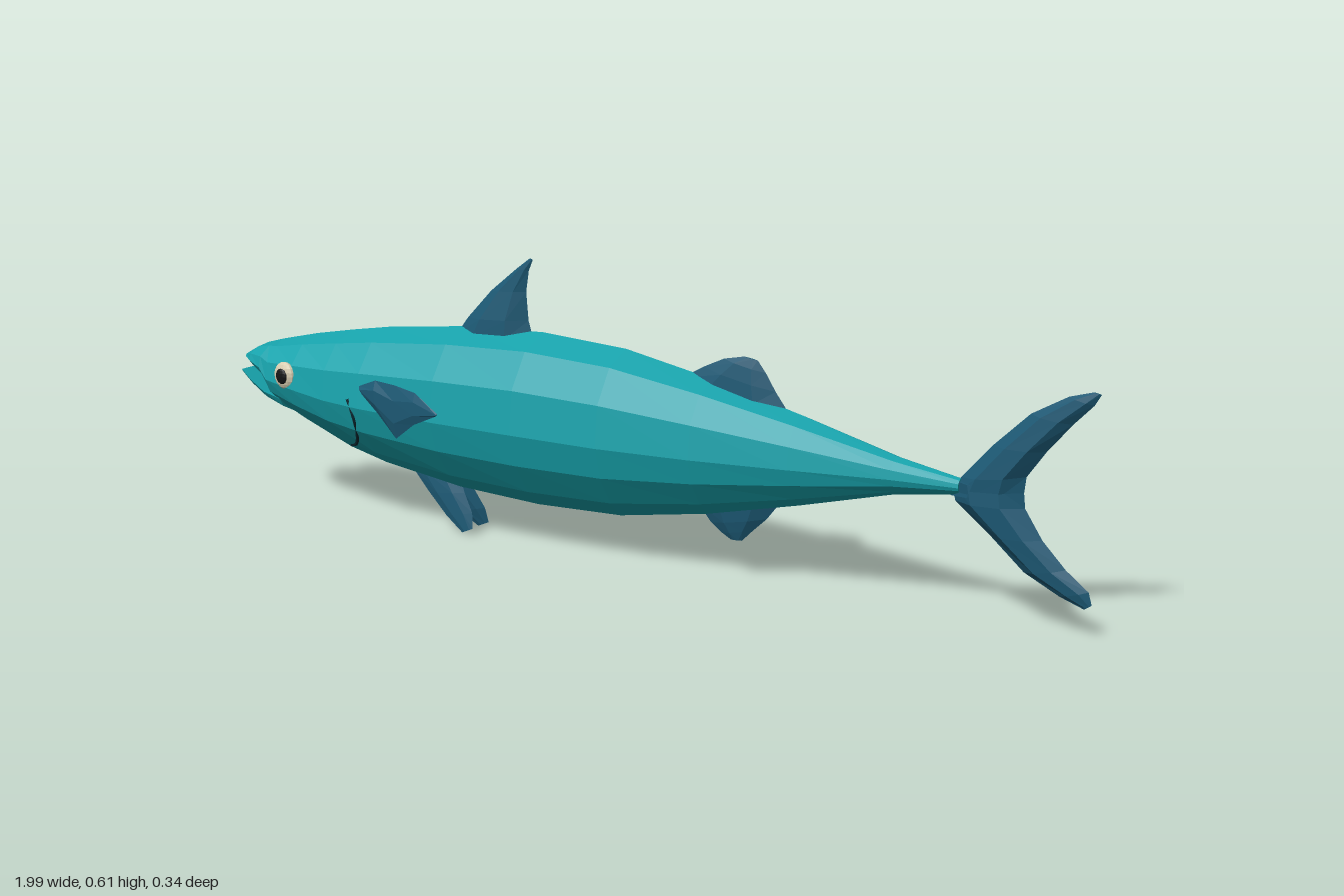
import * as THREE from 'three';

const material = (color) => new THREE.MeshStandardMaterial({ color, flatShading: true });
const teal = material(0x17a2ab);
const finBlue = material(0x1c5873);
const dark = material(0x0c2a33);
const cream = material(0xd8cdb0);
const black = material(0x151515);

// Skin a list of equal-sized rings of points, closing both ends
function loft(rings) {
  const n = rings[0].length, last = rings.length - 1, tris = [];
  for (let r = 0; r < last; r++) {
    for (let i = 0; i < n; i++) {
      const j = (i + 1) % n, a = rings[r], b = rings[r + 1];
      tris.push([a[i], a[j], b[j]], [a[i], b[j], b[i]]);
    }
  }
  for (let i = 1; i < n - 1; i++) {
    tris.push([rings[0][0], rings[0][i + 1], rings[0][i]]);
    tris.push([rings[last][0], rings[last][i], rings[last][i + 1]]);
  }
  // Turn the surface outward, whichever way the rings run
  let volume = 0;
  const cross = new THREE.Vector3();
  for (const [a, b, c] of tris) volume += a.dot(cross.crossVectors(b, c));
  if (volume < 0) tris.forEach((t) => t.reverse());
  const geometry = new THREE.BufferGeometry().setFromPoints(tris.flat());
  geometry.computeVertexNormals();
  return geometry;
}

// Body stations: x, bottom, top, half width
const STATIONS = [
  [-0.975, 0.33, 0.35, 0.045], [-0.945, 0.31, 0.367, 0.068], [-0.905, 0.282, 0.378, 0.083],
  [-0.88, 0.232, 0.384, 0.09], [-0.8, 0.197, 0.402, 0.104], [-0.7, 0.16, 0.42, 0.115],
  [-0.6, 0.137, 0.436, 0.123], [-0.4, 0.11, 0.457, 0.131], [-0.2, 0.1, 0.464, 0.131],
  [0, 0.105, 0.45, 0.122], [0.2, 0.137, 0.41, 0.099], [0.4, 0.182, 0.36, 0.068],
  [0.6, 0.232, 0.305, 0.033], [0.73, 0.25, 0.28, 0.015],
];
// Half cross-section: share of half width, share of height
const PROFILE = [[0, 1], [0.54, 0.92], [0.92, 0.72], [1, 0.47], [0.85, 0.28], [0.5, 0.1], [0.18, 0]];

function bodyRing([x, bottom, top, w]) {
  const side = (s) => PROFILE.map(([p, v]) => new THREE.Vector3(x, bottom + v * (top - bottom), s * p * w));
  return [...side(1), ...side(-1).slice(1).reverse()];
}

// Half width of the body at a point seen from the side
function skinZ(x, y) {
  const i = STATIONS.findIndex((s) => s[0] >= x);
  const a = STATIONS[i - 1], b = STATIONS[i], t = (x - a[0]) / (b[0] - a[0]);
  const [, bottom, top, w] = a.map((v, k) => v + t * (b[k] - v));
  const v = (y - bottom) / (top - bottom);
  const k = PROFILE.findIndex((p) => p[1] <= v);
  const p = PROFILE[k - 1], q = PROFILE[k];
  return w * (p[0] + ((v - p[1]) / (q[1] - p[1])) * (q[0] - p[0]));
}

// Fin from root to tip; each row: leading x, y, trailing x, y, half thickness, z offset
function fin(rows) {
  return loft(rows.map(([x1, y1, x2, y2, t, z = 0]) => {
    const at = (s, dz) => new THREE.Vector3(x1 + s * (x2 - x1), y1 + s * (y2 - y1), z + dz);
    return [at(0, 0), at(0.28, t), at(0.7, t), at(1, 0), at(0.7, -t), at(0.28, -t)];
  }));
}

export function createModel() {
  const model = new THREE.Group();
  const add = (name, geometry, mat, parent = model) => {
    const mesh = new THREE.Mesh(geometry, mat);
    mesh.name = name;
    parent.add(mesh);
    return mesh;
  };

  add('body', loft(STATIONS.map(bodyRing)), teal);

  // Lower jaw: x, bottom, top, half width
  const jaw = [[-1, 0.29, 0.304, 0.032], [-0.96, 0.268, 0.288, 0.05], [-0.91, 0.243, 0.268, 0.064], [-0.86, 0.222, 0.258, 0.068]];
  add('lowerJaw', loft(jaw.map(([x, b, t, w]) =>
    [[1, t], [0.85, (b + t) / 2], [0.3, b], [-0.3, b], [-0.85, (b + t) / 2], [-1, t]]
      .map(([s, y]) => new THREE.Vector3(x, y, s * w)))), teal);

  // Fins on the centre line
  add('dorsalFin', fin([
    [-0.42, 0.44, -0.225, 0.445, 0.024], [-0.39, 0.478, -0.237, 0.485, 0.021],
    [-0.33, 0.54, -0.242, 0.545, 0.011], [-0.265, 0.592, -0.235, 0.59, 0.005],
    [-0.232, 0.616, -0.225, 0.613, 0.001],
  ]), finBlue);
  add('rearDorsalFin', fin([
    [0.13, 0.405, 0.37, 0.36, 0.016], [0.18, 0.433, 0.34, 0.4, 0.013],
    [0.225, 0.454, 0.318, 0.435, 0.008], [0.27, 0.463, 0.3, 0.458, 0.002],
  ]), finBlue);
  add('analFin', fin([
    [0.17, 0.15, 0.36, 0.185, 0.016], [0.2, 0.115, 0.325, 0.14, 0.012],
    [0.225, 0.097, 0.295, 0.112, 0.007], [0.245, 0.086, 0.27, 0.087, 0.002],
  ]), finBlue);

  // Tail lobes, meeting behind the tail root
  add('upperTailLobe', fin([
    [0.71, 0.245, 0.853, 0.262, 0.021], [0.73, 0.283, 0.857, 0.3, 0.023],
    [0.79, 0.352, 0.893, 0.352, 0.02], [0.86, 0.42, 0.94, 0.409, 0.014],
    [0.93, 0.46, 0.978, 0.449, 0.008], [0.975, 0.473, 0.99, 0.47, 0.002],
  ]), finBlue);
  add('lowerTailLobe', fin([
    [0.71, 0.275, 0.853, 0.275, 0.021], [0.72, 0.236, 0.857, 0.24, 0.023],
    [0.79, 0.18, 0.893, 0.184, 0.02], [0.86, 0.118, 0.94, 0.135, 0.014],
    [0.93, 0.083, 0.985, 0.1, 0.008], [0.978, 0.066, 0.992, 0.076, 0.002],
  ]), finBlue);

  // Paired parts
  for (const s of [1, -1]) {
    const side = s > 0 ? 'left' : 'right';
    add(side + 'PectoralFin', fin([
      [-0.592, 0.328, -0.575, 0.305, 0.006, s * 0.122], [-0.54, 0.348, -0.535, 0.277, 0.009, s * 0.133],
      [-0.48, 0.346, -0.48, 0.231, 0.008, s * 0.143], [-0.42, 0.339, -0.425, 0.27, 0.006, s * 0.154],
      [-0.355, 0.304, -0.36, 0.298, 0.002, s * 0.166],
    ]), finBlue);
    add(side + 'PelvicFin', fin([
      [-0.54, 0.135, -0.41, 0.125, 0.007, s * 0.012], [-0.49, 0.085, -0.395, 0.095, 0.007, s * 0.018],
      [-0.44, 0.04, -0.372, 0.055, 0.005, s * 0.024], [-0.395, 0.01, -0.367, 0.022, 0.002, s * 0.03],
    ]), finBlue);

    // Eye with pupil
    const eye = new THREE.Group();
    eye.name = side + 'Eye';
    eye.position.set(-0.82, 0.32, s * (skinZ(-0.82, 0.32) - 0.003));
    eye.rotation.y = -s * 0.12;
    add('eyeball', new THREE.SphereGeometry(0.031, 14, 10), cream, eye).scale.z = 0.45;
    const pupil = add('pupil', new THREE.SphereGeometry(0.018, 12, 8), black, eye);
    pupil.scale.z = 0.4;
    pupil.position.z = s * 0.0095;
    model.add(eye);

    // Gill slit lying on the skin
    const gill = [[-0.628, 0.295], [-0.616, 0.25], [-0.628, 0.205], [-0.65, 0.182], [-0.68, 0.17]]
      .map(([x, y]) => new THREE.Vector3(x, y, s * skinZ(x, y)));
    add(side + 'Gill', new THREE.TubeGeometry(new THREE.CatmullRomCurve3(gill), 16, 0.004, 5), dark);
  }
  return model;
}
